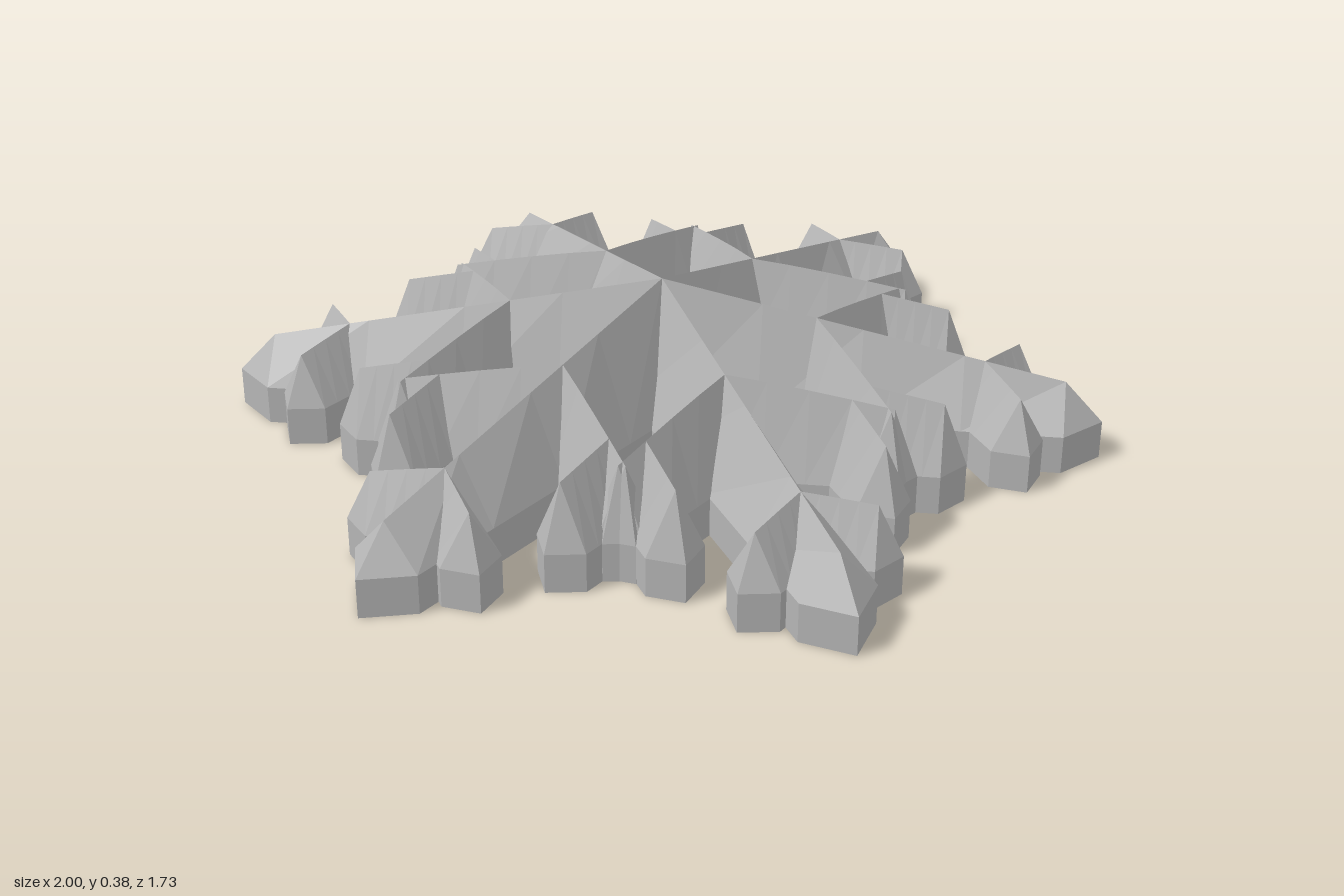
import * as THREE from 'three';

const EAVE = 0.09;   // height of the upright walls
const STEPS = 4;     // slices along each sloping roof
const ridgeHeight = (x, z) => 0.385 - 0.2185 * Math.hypot(x, z);

// Roofed bar with a pointed, hipped end; its ridge follows a shallow cone around the centre.
function barGeometry(x0, z0, angle, length, half, tip) {
  const c = Math.cos(angle), s = Math.sin(angle);
  const at = (u, v, y) => [x0 + u * c - v * s, y, z0 + u * s + v * c];
  const ridge = (u) => {
    const p = at(u, 0, 0);
    p[1] = ridgeHeight(p[0], p[2]);
    return p;
  };
  const pos = [];
  const tri = (a, b, d) => pos.push(...a, ...b, ...d);
  const quad = (a, b, d, e) => { tri(a, b, d); tri(a, d, e); };
  const end = length - tip;
  const outline = [[0, -half], [end, -half], [length, 0], [end, half], [0, half]];
  const low = outline.map(([u, v]) => at(u, v, 0));
  const high = outline.map(([u, v]) => at(u, v, EAVE));

  // Walls and underside
  for (let i = 0; i < 4; i++) quad(low[i + 1], low[i], high[i], high[i + 1]);
  for (let i = 1; i < 4; i++) tri(low[0], low[i], low[i + 1]);

  // Two long roof slopes
  for (let i = 0; i < STEPS; i++) {
    const a = end * i / STEPS, b = end * (i + 1) / STEPS;
    quad(at(b, -half, EAVE), at(a, -half, EAVE), ridge(a), ridge(b));
    quad(at(a, half, EAVE), at(b, half, EAVE), ridge(b), ridge(a));
  }

  // Hipped end
  tri(high[2], high[1], ridge(end));
  tri(high[3], high[2], ridge(end));

  const g = new THREE.BufferGeometry();
  g.setAttribute('position', new THREE.Float32BufferAttribute(pos, 3));
  g.computeVertexNormals();
  return g;
}

export function createModel() {
  const model = new THREE.Group();
  model.name = 'snowflake';
  const grey = new THREE.MeshStandardMaterial({ color: 0xb4b4b4 });
  grey.name = 'grey';

  const addBar = (parent, name, ...shape) => {
    const mesh = new THREE.Mesh(barGeometry(...shape), grey);
    mesh.name = name;
    parent.add(mesh);
  };

  const sixth = Math.PI / 3;
  for (let i = 0; i < 6; i++) {
    const angle = i * sixth;
    const c = Math.cos(angle), s = Math.sin(angle);
    const arm = new THREE.Group();
    arm.name = 'arm' + (i + 1);
    model.add(arm);
    addBar(arm, 'mainArm', 0, 0, angle, 1, 0.087, 0.088);

    for (const side of [-1, 1]) {
      const turn = angle + side * sixth;
      // Short points near the arm's end
      addBar(arm, 'endPoint', 0.73 * c, 0.73 * s, turn, 0.213, 0.066, 0.055);
      // Inner branch, with a short point facing outward along the arm
      const bx = 0.35 * c, bz = 0.35 * s;
      addBar(arm, 'branch', bx, bz, turn, 0.42, 0.066, 0.055);
      addBar(arm, 'branchPoint', bx + 0.273 * Math.cos(turn), bz + 0.273 * Math.sin(turn),
        angle, 0.213, 0.066, 0.055);
    }
  }
  return model;
}
